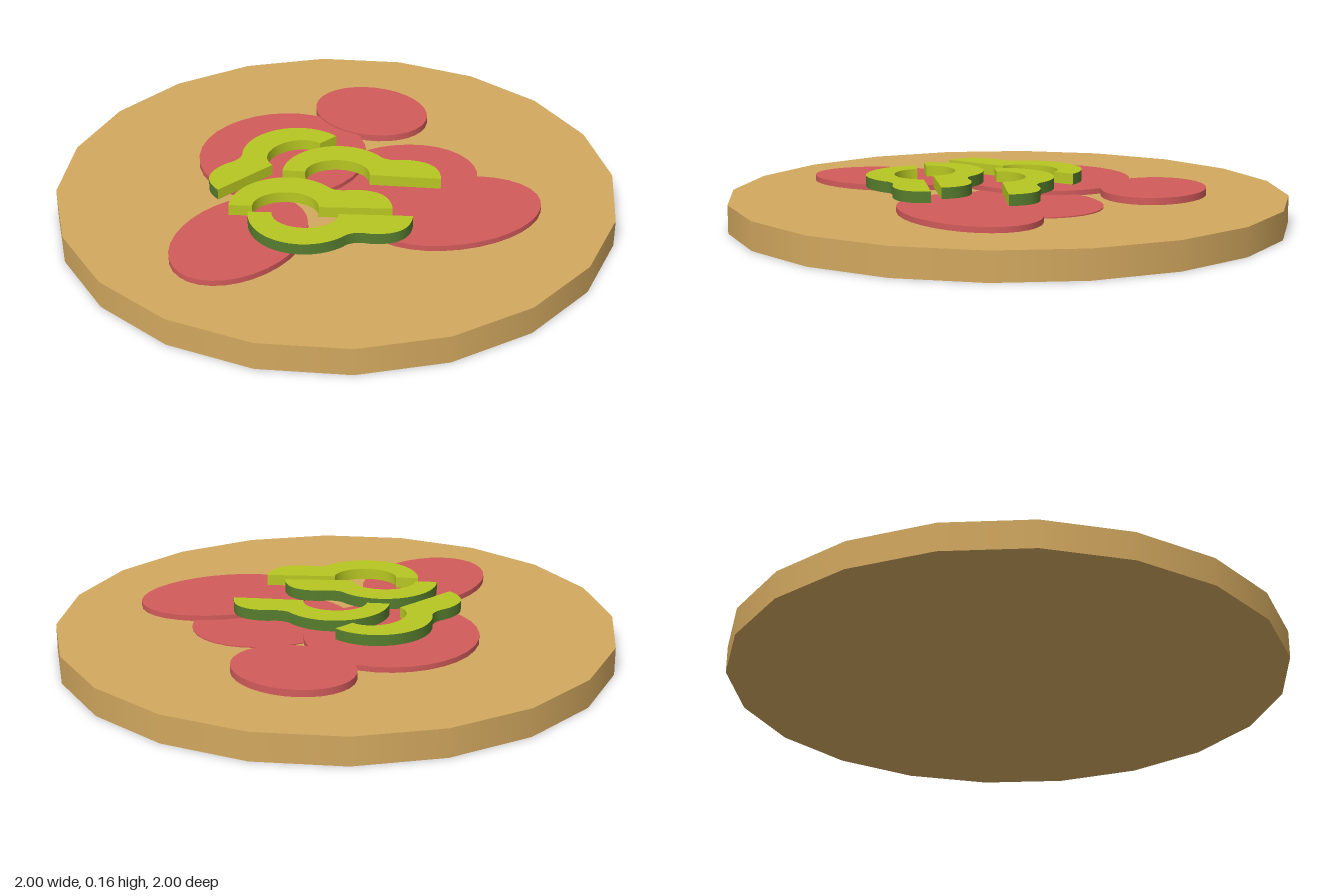
import * as THREE from 'three';
import { toCreasedNormals } from 'three/addons/utils/BufferGeometryUtils.js';

const material = (name, color) => {
  const m = new THREE.MeshStandardMaterial({ color });
  m.name = name;
  return m;
};

const BASE_TOP = 0.1;

// Hooked pepper strip lying along +x from its end; side = 1 or -1 mirrors the bulge
function pepperGeometry(side) {
  const cx = 0.197;
  const outline = new THREE.Shape();
  outline.moveTo(0, 0);
  outline.absellipse(cx, 0, 0.197, 0.197, Math.PI, 0.7, true);
  outline.bezierCurveTo(0.4, 0.1, 0.41, 0.13, 0.47, 0.118);
  outline.bezierCurveTo(0.53, 0.108, 0.562, 0.07, 0.566, 0);
  outline.lineTo(cx + 0.115, 0);
  outline.absellipse(cx, 0, 0.115, 0.094, 0, Math.PI, false);
  const points = outline.getPoints(9).map((p) => new THREE.Vector2(p.x, p.y * side));
  const raw = new THREE.ExtrudeGeometry(new THREE.Shape(points), { depth: 0.04, bevelEnabled: false });
  const geometry = toCreasedNormals(raw, Math.PI / 5);

  // Skin on the outer curved wall, flesh everywhere else
  const pos = geometry.attributes.position;
  const normal = geometry.attributes.normal;
  geometry.clearGroups();
  for (let i = 0; i < pos.count; i += 3) {
    const x = (pos.getX(i) + pos.getX(i + 1) + pos.getX(i + 2)) / 3;
    const y = Math.abs(pos.getY(i) + pos.getY(i + 1) + pos.getY(i + 2)) / 3;
    const outside = ((x - cx) / 0.13) ** 2 + (y / 0.107) ** 2 > 1;
    const wall = Math.abs(normal.getZ(i)) < 0.5;
    geometry.addGroup(i, 3, wall && outside && y > 0.004 ? 1 : 0);
  }
  return geometry.rotateX(-Math.PI / 2);
}

export function createModel() {
  const model = new THREE.Group();
  model.name = 'toppedFlatbread';
  const crust = material('crust', 0xd2a85f);
  const ham = material('ham', 0xd25b5b);
  const flesh = material('pepperFlesh', 0xb8c722);
  const skin = material('pepperSkin', 0x567d2e);

  // Round base
  const base = new THREE.Mesh(new THREE.CylinderGeometry(1, 1, BASE_TOP, 20), crust);
  base.name = 'base';
  base.position.y = BASE_TOP / 2;
  model.add(base);

  // Oval slices: x, z, half length, half width, turn about y, thickness
  const slices = [
    [-0.16, -0.495, 0.223, 0.185, 0, 0.025],
    [-0.262, -0.045, 0.304, 0.315, 0, 0.019],
    [-0.065, 0.505, 0.205, 0.288, 0, 0.02],
    [0.46, -0.04, 0.318, 0.218, 0.913, 0.02],
    [0.185, -0.14, 0.29, 0.245, 1.1, 0.004],
  ];
  slices.forEach(([x, z, a, b, turn, h]) => {
    const slice = new THREE.Mesh(new THREE.CylinderGeometry(1, 1, 1, 32), ham);
    slice.name = 'hamSlice';
    slice.scale.set(a, h, b);
    slice.rotation.y = turn;
    slice.position.set(x, BASE_TOP + h / 2, z);
    model.add(slice);
  });

  // Pepper strips: x, z of the hooked end, heading in degrees, mirror side
  const strips = [
    [-0.13, -0.2, -104.2, -1],
    [-0.155, 0.115, 26.8, 1],
    [-0.177, 0.412, 30.5, 1],
    [-0.096, 0.41, 30, -1],
  ];
  strips.forEach(([x, z, heading, side]) => {
    const strip = new THREE.Mesh(pepperGeometry(side), [flesh, skin]);
    strip.name = 'pepperStrip';
    strip.position.set(x, BASE_TOP + 0.02, z);
    strip.rotation.y = THREE.MathUtils.degToRad(heading);
    model.add(strip);
  });

  return model;
}
